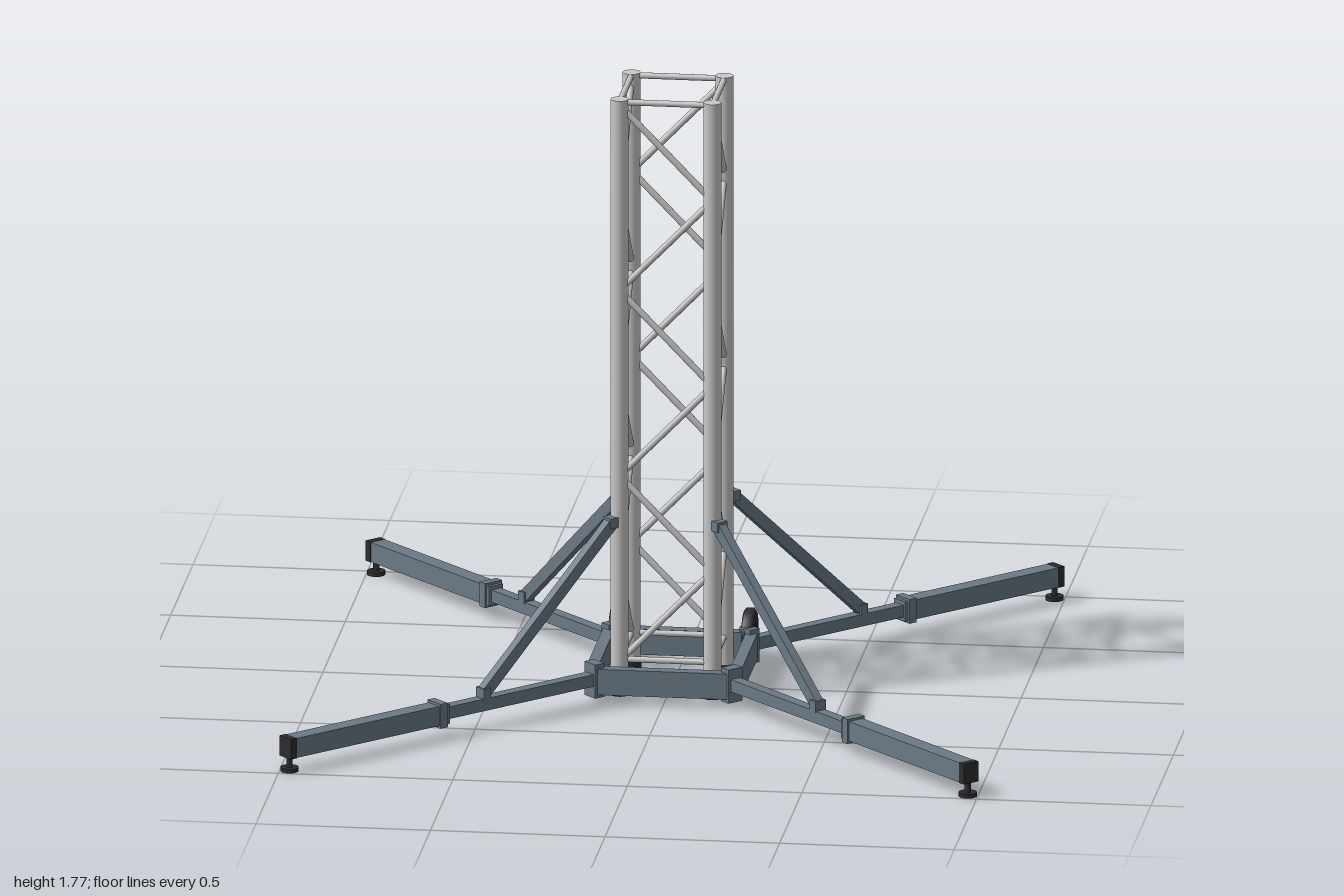
import * as THREE from 'three';

const mat = (name, color) => {
  const m = new THREE.MeshStandardMaterial({ color });
  m.name = name;
  return m;
};

export function createModel() {
  const aluminium = mat('aluminium', 0xc9c9c9);
  const steel = mat('blueGreySteel', 0x6c7a86);
  const rubber = mat('blackRubber', 0x2c2c2f);
  const hubGrey = mat('hubGrey', 0x55595e);
  const model = new THREE.Group();
  model.name = 'trussTower';

  const add = (parent, name, geometry, material, x = 0, y = 0, z = 0) => {
    const mesh = new THREE.Mesh(geometry, material);
    mesh.name = name;
    mesh.position.set(x, y, z);
    parent.add(mesh);
    return mesh;
  };
  const box = (w, h, d) => new THREE.BoxGeometry(w, h, d);
  const cyl = (r, h, n = 24) => new THREE.CylinderGeometry(r, r, h, n);
  // Round bar between two points
  const bar = (parent, name, a, b, r, material) => {
    const dir = b.clone().sub(a);
    const mesh = add(parent, name, cyl(r, dir.length(), 12), material);
    mesh.position.copy(a).add(b).multiplyScalar(0.5);
    mesh.quaternion.setFromUnitVectors(new THREE.Vector3(0, 1, 0), dir.normalize());
  };

  // Tower: four chords with dark feet
  const P = 0.133, TOP = 1.775;
  for (const x of [-P, P]) for (const z of [-P, P]) {
    add(model, 'chord', cyl(0.0255, TOP - 0.03), aluminium, x, (TOP + 0.03) / 2, z);
    add(model, 'chordFoot', cyl(0.029, 0.022), rubber, x, 0.02, z);
  }

  // Lattice and base frame, one face repeated around the tower
  const BAYS = 6, PITCH = 0.275, Y0 = 0.107;
  for (let i = 0; i < 4; i++) {
    const face = new THREE.Group();
    face.name = 'towerFace';
    face.rotation.y = i * Math.PI / 2;
    model.add(face);
    const v = (x, y) => new THREE.Vector3(x, y, P);
    for (const y of [0.113, 1.766]) bar(face, 'crossBar', v(-P, y), v(P, y), 0.009, aluminium);
    for (let k = 0; k < BAYS; k++) {
      const s = k % 2 ? 1 : -1;
      bar(face, 'diagonal', v(s * P, Y0 + k * PITCH), v(-s * P, Y0 + (k + 1) * PITCH), 0.0095, aluminium);
    }
    add(face, 'baseBeam', box(0.38, 0.076, 0.034), steel, 0, 0.068, 0.204);
  }

  // Outriggers, built along +x and turned onto the diagonals
  for (let i = 0; i < 4; i++) {
    const leg = new THREE.Group();
    leg.name = 'outrigger';
    leg.rotation.y = Math.PI / 4 + i * Math.PI / 2;
    model.add(leg);
    add(leg, 'cornerSleeve', box(0.034, 0.1, 0.05), steel, 0.278, 0.07, 0);
    add(leg, 'innerArm', box(0.58, 0.036, 0.034), steel, 0.56, 0.072, 0);
    add(leg, 'outerArm', box(0.565, 0.058, 0.05), steel, 1.1, 0.072, 0);
    add(leg, 'armCollar', box(0.026, 0.072, 0.062), steel, 0.842, 0.072, 0);
    add(leg, 'endCap', box(0.022, 0.06, 0.052), rubber, 1.378, 0.072, 0);
    // Levelling foot
    add(leg, 'footStem', cyl(0.009, 0.05), rubber, 1.374, 0.03, 0);
    add(leg, 'footPad', cyl(0.026, 0.012), rubber, 1.374, 0.006, 0);

    // Brace with its clamp and lug
    const a = new THREE.Vector2(0.222, 0.52), b = new THREE.Vector2(0.676, 0.104);
    const d = b.clone().sub(a);
    const brace = add(leg, 'brace', box(d.length(), 0.034, 0.026), steel,
      (a.x + b.x) / 2, (a.y + b.y) / 2, 0);
    brace.rotation.z = d.angle();
    add(leg, 'braceClamp', box(0.034, 0.03, 0.036), steel, 0.217, 0.525, 0);
    add(leg, 'braceLug', box(0.026, 0.034, 0.038), steel, 0.677, 0.102, 0);
  }

  // Transport wheels at the back
  const tyreProfile = [[0.034, -0.017], [0.066, -0.017], [0.075, -0.011], [0.075, 0.011],
    [0.066, 0.017], [0.034, 0.017], [0.034, -0.017]].map(p => new THREE.Vector2(...p));
  for (const s of [-1, 1]) {
    const wheel = new THREE.Group();
    wheel.name = 'wheel';
    wheel.position.set(s * 0.19, 0.083, -0.255);
    wheel.rotation.z = Math.PI / 2;
    model.add(wheel);
    add(wheel, 'tyre', new THREE.LatheGeometry(tyreProfile, 32), rubber);
    add(wheel, 'hub', cyl(0.035, 0.026), hubGrey);
    add(wheel, 'axle', cyl(0.01, 0.044, 16), rubber);
    add(model, 'wheelBracket', box(0.008, 0.03, 0.06), rubber, s * 0.168, 0.083, -0.238);
  }
  return model;
}
